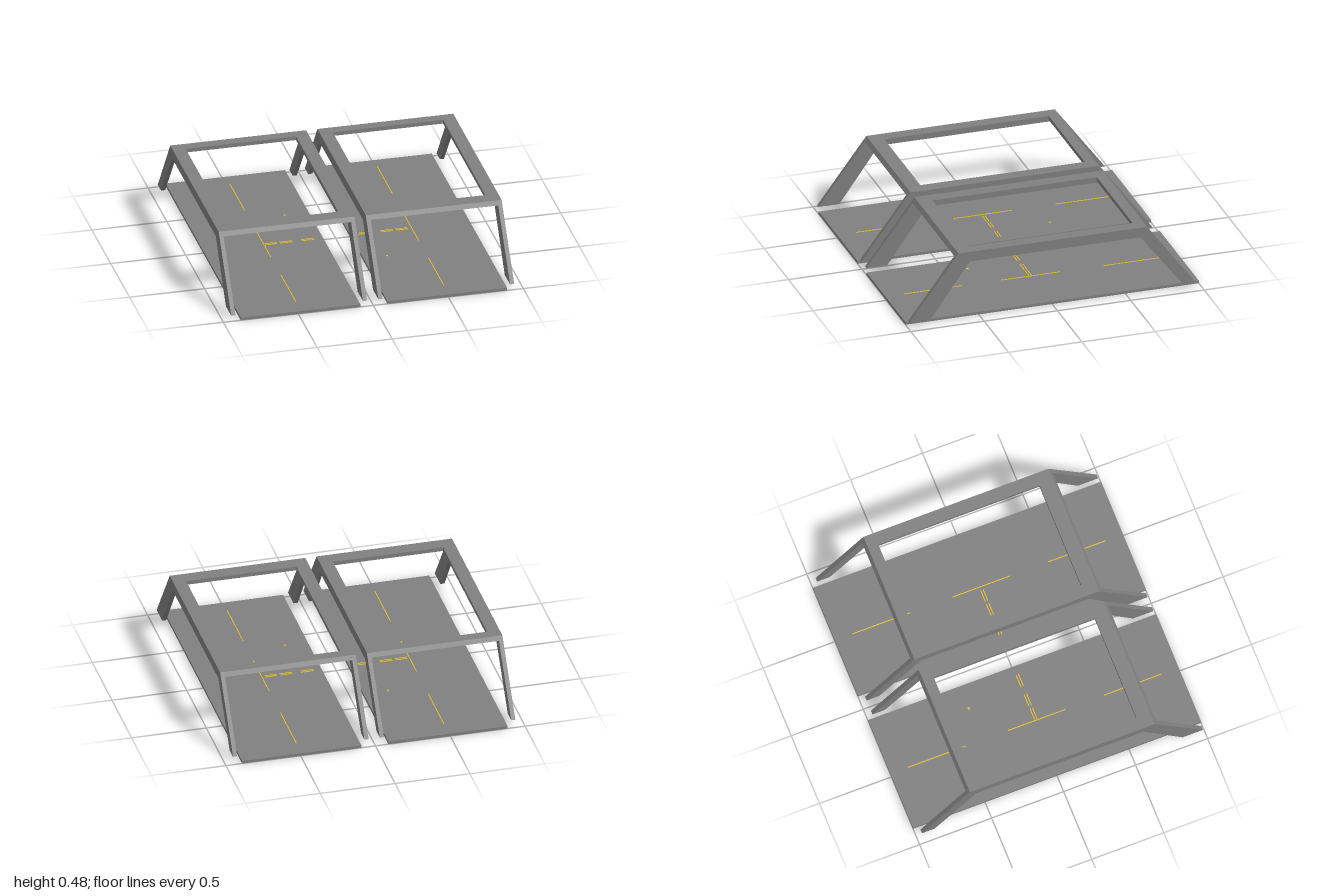
import * as THREE from 'three';

const grey = new THREE.MeshStandardMaterial({ color: 0x808080 });
grey.name = 'concreteGrey';
const yellow = new THREE.MeshStandardMaterial({ color: 0xf2cc2a });
yellow.name = 'markingYellow';

function add(parent, name, geometry, material, x = 0, y = 0, z = 0) {
  const mesh = new THREE.Mesh(geometry, material);
  mesh.name = name;
  mesh.position.set(x, y, z);
  parent.add(mesh);
  return mesh;
}

// Extrudes a [z, y] profile along x, centred on x = 0
function across(profile, width) {
  const shape = new THREE.Shape(profile.map(([z, y]) => new THREE.Vector2(z, y)));
  const g = new THREE.ExtrudeGeometry(shape, { depth: width, bevelEnabled: false });
  g.translate(0, 0, -width / 2);
  g.rotateY(-Math.PI / 2);
  return g;
}

const TOP = 0.48, UNDER = 0.453, LEG = 0.028, HALF = 0.453, HOLE = 0.368;

// One bay; side is -1 or 1
function bay(side) {
  const group = new THREE.Group();
  group.name = side < 0 ? 'rightBay' : 'leftBay';
  const cx = side < 0 ? -0.492 : 0.489;

  // Floor slab
  add(group, 'floorSlab', new THREE.BoxGeometry(0.797, 0.018, 2), grey, side < 0 ? -0.485 : 0.493, 0.009, 0);

  // Side frames: sloping legs joined by a long beam
  const frame = across([
    [0.99, 0.035], [0.655, TOP], [-0.63, TOP], [-0.962, 0.035],
    [-0.875, 0.035], [-0.585, 0.412], [0.578, 0.412], [0.848, 0.035],
  ], LEG);
  for (const s of [-1, 1]) {
    add(group, 'sideFrame', frame, grey, cx + s * (HALF - LEG / 2), 0, 0);
  }

  // Flat roof border around the opening
  const inner = HALF - LEG;
  const barWidth = inner * 2;
  add(group, 'frontRoofBar', across([[0.56, UNDER], [0.675, UNDER], [0.655, TOP], [0.56, TOP]], barWidth), grey, cx);
  add(group, 'backRoofBar', across([[-0.56, UNDER], [-0.56, TOP], [-0.63, TOP], [-0.649, UNDER]], barWidth), grey, cx);
  for (const s of [-1, 1]) {
    add(group, 'sideRoofBar', new THREE.BoxGeometry(inner - HOLE, TOP - UNDER, 1.12), grey,
      cx + s * (inner + HOLE) / 2, (TOP + UNDER) / 2, 0);
  }

  // Long lane dashes
  const laneX = side < 0 ? -0.487 : 0.499;
  for (const z of [-0.68, 0.015, 0.68]) {
    add(group, 'laneDash', new THREE.BoxGeometry(0.006, 0.003, 0.4), yellow, laneX, 0.0275, z);
  }

  // Paired cross dashes
  for (const [a, b] of [[0.147, 0.235], [0.293, 0.377], [0.395, 0.477]]) {
    for (const z of [0.003, 0.02]) {
      add(group, 'crossDash', new THREE.BoxGeometry(b - a, 0.003, 0.006), yellow, side * (a + b) / 2, 0.0195, z);
    }
  }

  // Small floor stud
  add(group, 'floorStud', new THREE.CylinderGeometry(0.008, 0.008, 0.004, 12), yellow, side * 0.25, 0.02, side * 0.365);
  return group;
}

export function createModel() {
  const model = new THREE.Group();
  model.name = 'twinBayShelter';
  for (const side of [-1, 1]) model.add(bay(side));
  return model;
}
